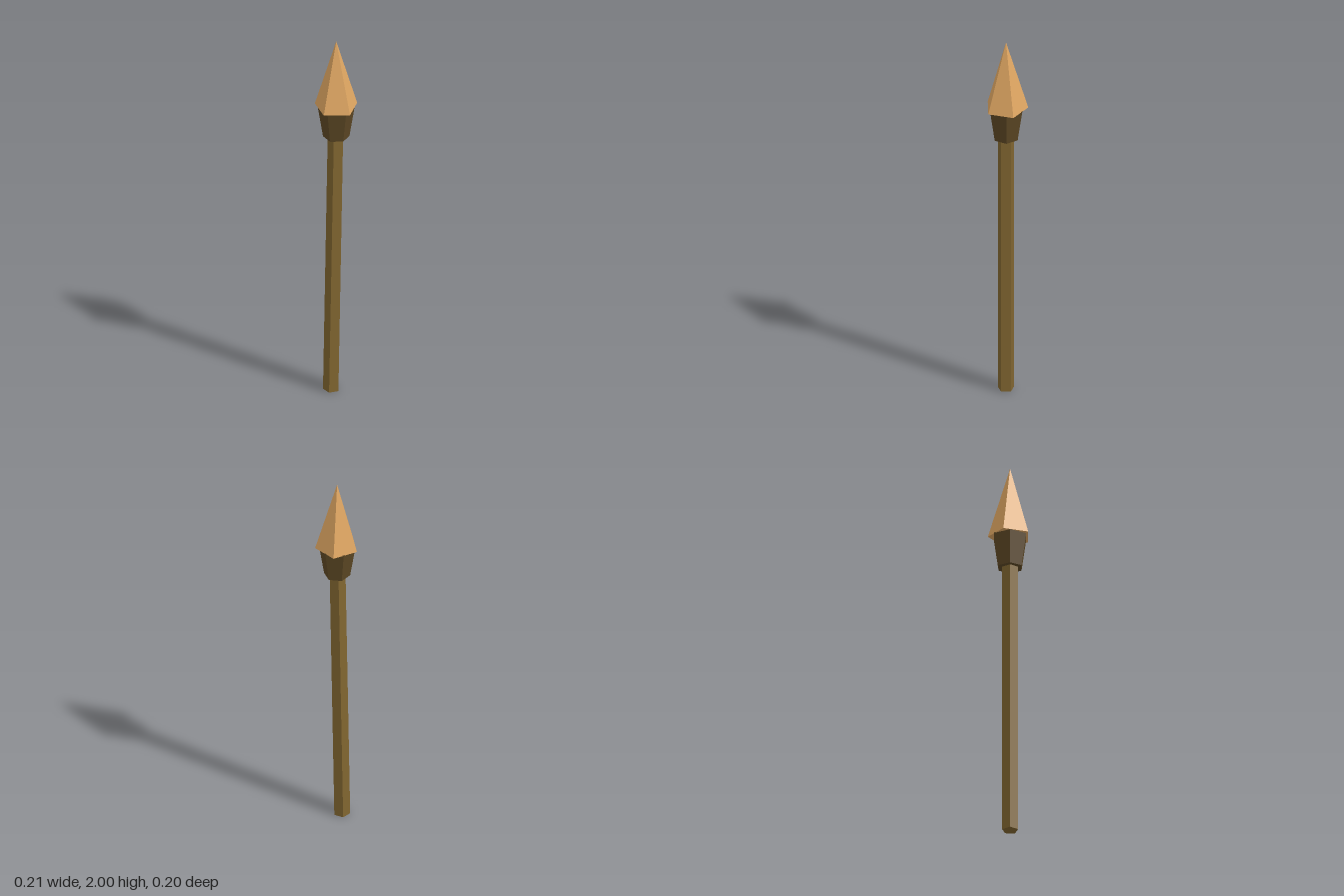
import * as THREE from 'three';

// Low-poly tapered prism standing on y, with its first corner at angle start (0 = +z)
function prism(name, color, rTop, rBottom, y0, y1, sides, start) {
  const geo = new THREE.CylinderGeometry(rTop, rBottom, y1 - y0, sides, 1, false, start);
  geo.translate(0, (y1 - y0) / 2, 0);
  const mesh = new THREE.Mesh(geo, new THREE.MeshStandardMaterial({ color, flatShading: true }));
  mesh.name = name;
  mesh.position.set(0, y0, 0.01);
  return mesh;
}

export function createModel() {
  const group = new THREE.Group();
  group.name = 'spear';

  // Five-sided shaft, leaning slightly to the left as it rises
  const shaft = prism('shaft', 0x806530, 0.042, 0.042, 0, 1.56, 5, -Math.PI / 2);
  shaft.position.x = -0.024;
  shaft.position.y = 0.001;
  shaft.rotation.z = -0.016;
  group.add(shaft);

  // Six-sided collar flaring up to the head
  group.add(prism('collar', 0x5c4724, 0.093, 0.066, 1.455, 1.628, 6, Math.PI / 2));

  // Five-sided pointed head, flat face forward
  const head = new THREE.Mesh(
    new THREE.ConeGeometry(0.111, 0.375, 5, 1, false, Math.PI),
    new THREE.MeshStandardMaterial({ color: 0xdfa662, flatShading: true })
  );
  head.name = 'spearHead';
  head.position.set(0, 1.625 + 0.375 / 2, 0.01);
  group.add(head);

  return group;
}
